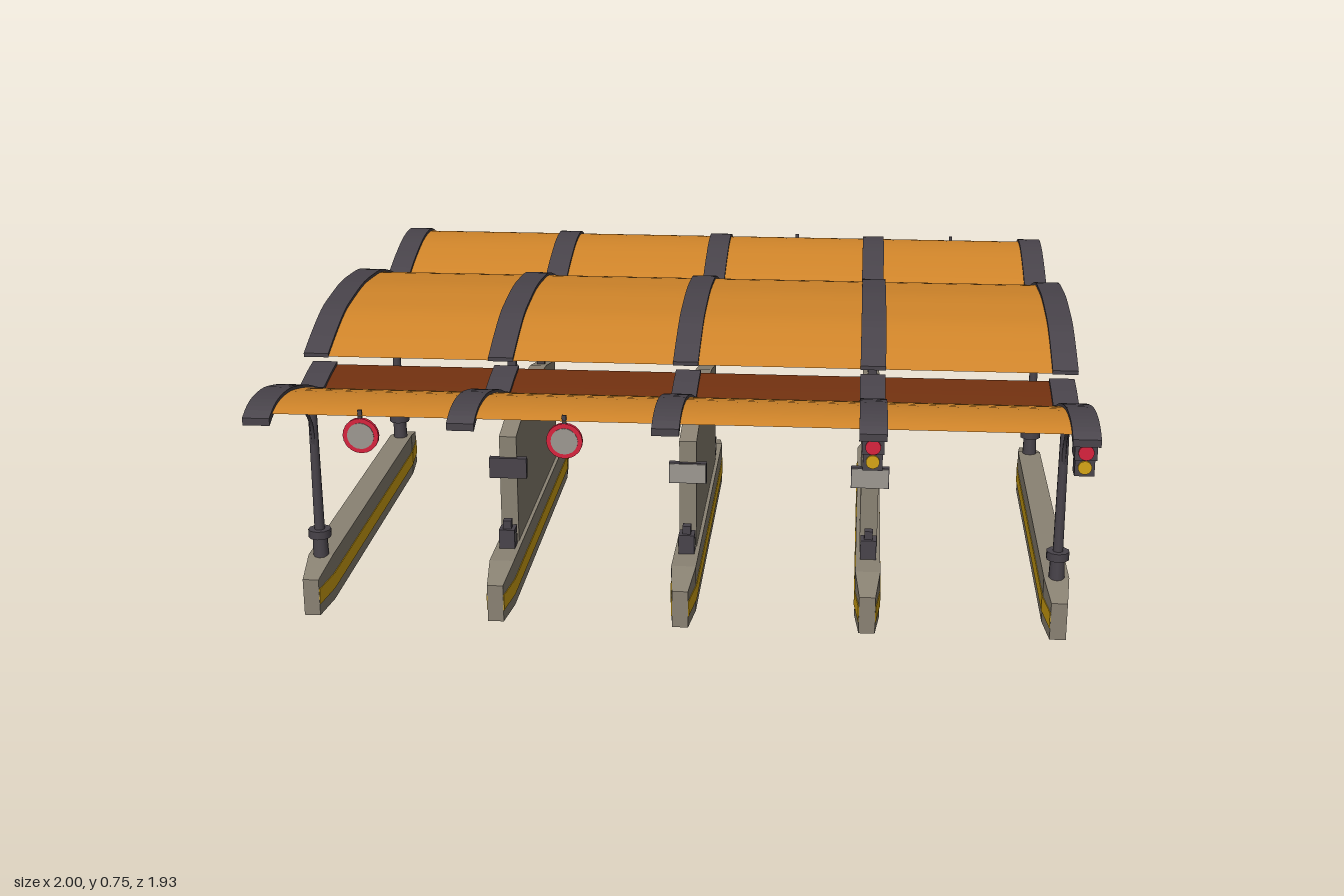
import * as THREE from 'three';

const mat = (name, color, side = THREE.FrontSide) => {
  const m = new THREE.MeshStandardMaterial({ color, side });
  m.name = name;
  return m;
};
const orange = mat('roof orange', 0xcf8429);
const brown = mat('soffit brown', 0x70300f);
const frame = mat('frame charcoal', 0x48434a);
const concrete = mat('concrete', 0x8a8273);
const yellow = mat('stripe yellow', 0xd6a512);
const red = mat('signal red', 0xd8203c);
const grey = mat('panel grey', 0x9d9891);

const BAYS = [-0.967, -0.481, 0, 0.481, 0.967];
const RIB_W = 0.065;

function add(parent, name, geo, material, x = 0, y = 0, z = 0) {
  const m = new THREE.Mesh(geo, material);
  m.name = name;
  m.position.set(x, y, z);
  parent.add(m);
  return m;
}
const box = (w, h, d) => new THREE.BoxGeometry(w, h, d);
const disc = (r, d) => new THREE.CylinderGeometry(r, r, d, 20).rotateX(Math.PI / 2);

// Smooth line through [z, y] points
const smooth = (pts, n) =>
  new THREE.SplineCurve(pts.map(p => new THREE.Vector2(...p))).getPoints(n).map(v => [v.x, v.y]);

// Side profile of [z, y] points extruded along x, centred on x = 0
function slab(profile, width) {
  const shape = new THREE.Shape(profile.map(p => new THREE.Vector2(...p)));
  return new THREE.ExtrudeGeometry(shape, { depth: width, bevelEnabled: false })
    .rotateY(-Math.PI / 2).translate(width / 2, 0, 0);
}

// Rib following a profile, thickness given by a function of z
const rib = (pts, thick) =>
  slab([...pts, ...pts.map(([z, y]) => [z, y - thick(z)]).reverse()], RIB_W);

// Curved sheet across the full width; faces up when points run from back to front
function sheet(pts, drop) {
  const g = new THREE.PlaneGeometry(1.934, 1, 1, pts.length - 1);
  const p = g.attributes.position;
  for (let i = 0; i < p.count; i++) {
    const [z, y] = pts[Math.floor(i / 2)];
    p.setXYZ(i, p.getX(i), y - drop, z);
  }
  g.computeVertexNormals();
  return g;
}
function roofPanel(parent, name, pts, top) {
  add(parent, name, sheet(pts, 0.008), top);
  add(parent, name + 'Underside', sheet([...pts].reverse(), 0.013), brown);
}

// Long bar in z whose end sections are reshaped by a rule
function bar(w, h, rule) {
  const g = new THREE.BoxGeometry(w, h, 1.2, 1, 1, 3);
  const p = g.attributes.position;
  for (let i = 0; i < p.count; i++) {
    const z = p.getZ(i), tip = Math.abs(z) > 0.5;
    const [x, y] = rule(p.getX(i), p.getY(i), tip);
    p.setXYZ(i, x, y, Math.sign(z) * (tip ? 0.6 : 0.49));
  }
  const flat = g.toNonIndexed();
  flat.computeVertexNormals();
  return flat;
}

// Concrete island with tapered ends and stripes on the lane sides
function island(parent, x) {
  add(parent, 'island', bar(RIB_W, 0.125, (px, py, tip) =>
    [tip ? px * 0.64 : px, tip && py > 0 ? 0.1 : py + 0.0625]), concrete, x);
  for (const s of [-1, 1]) {
    if (s * x > 0.9) continue;
    const g = bar(0.004, 0.042, (px, py, tip) => [px + s * (tip ? 0.0208 : 0.0325), py + 0.052]);
    add(parent, 'islandStripe', g.scale(1, 1, 0.998), yellow, x);
  }
}

// Hanging two-lamp signal
function signal(parent, x) {
  const g = new THREE.Group();
  g.name = 'trafficSignal';
  add(g, 'signalBody', box(0.046, 0.1, 0.04), frame, 0, 0.62, 0.925);
  add(g, 'signalHood', box(0.052, 0.05, 0.06), frame, 0, 0.638, 0.927);
  add(g, 'redLamp', disc(0.018, 0.006), red, 0, 0.632, 0.959);
  add(g, 'yellowLamp', disc(0.016, 0.006), yellow, 0, 0.592, 0.947);
  g.position.x = x;
  parent.add(g);
}

// Round hanging sign with a red rim
function roundSign(parent, x) {
  const g = new THREE.Group();
  g.name = 'roundSign';
  add(g, 'signRim', disc(0.043, 0.01), red);
  add(g, 'signFace', disc(0.032, 0.014), grey);
  add(g, 'signHanger', box(0.01, 0.04, 0.006), frame, 0, 0.043, 0);
  g.position.set(x, 0.62, 0.935);
  parent.add(g);
}

// Corner column with footing, collar and curved brace
function column(parent, x) {
  const g = new THREE.Group();
  g.name = 'column';
  const drum = (r0, r1, y0, y1) => new THREE.CylinderGeometry(r1, r0, y1 - y0, 10).translate(0, (y0 + y1) / 2, 0.483);
  add(g, 'columnShaft', drum(0.014, 0.011, 0.12, 0.575), frame);
  add(g, 'columnFooting', drum(0.021, 0.019, 0.12, 0.18), frame);
  add(g, 'columnCollar', drum(0.03, 0.03, 0.176, 0.198), frame);
  const path = [[0.487, 0.42], [0.505, 0.5], [0.545, 0.543], [0.59, 0.572], [0.66, 0.632]];
  const curve = new THREE.CatmullRomCurve3(path.map(([z, y]) => new THREE.Vector3(0, y, z)));
  add(g, 'columnBrace', new THREE.TubeGeometry(curve, 16, 0.005, 6), frame);
  g.position.x = x;
  parent.add(g);
}

// Front half; the back half is the same turned half round
function buildHalf() {
  const half = new THREE.Group();
  const inner = [[0.33, 0.614], [0.4, 0.604], [0.475, 0.588]];
  const outer = smooth([[0.475, 0.588], [0.54, 0.61], [0.62, 0.641], [0.71, 0.667],
    [0.79, 0.684], [0.87, 0.689], [0.925, 0.682], [0.966, 0.666]], 20);
  const wing = [...inner, ...outer.slice(1)];
  const thick = z => 0.012 + 0.017 * Math.max(0, 1 - Math.abs(z - 0.48) / 0.2);
  roofPanel(half, 'wingInnerPanel', inner, brown);
  roofPanel(half, 'wingPanel', outer.filter(p => p[0] < 0.955), orange);
  for (const x of BAYS) add(half, 'wingRib', rib(wing, z => thick(z) + 0.006), frame, x);

  for (const x of [-0.967, 0.967]) column(half, x);
  for (const x of [-0.481, 0.481]) add(half, 'roofPost', box(0.022, 0.29, 0.022), frame, x, 0.57, 0.24);
  for (const x of BAYS.slice(1, 4)) {
    // Display box on the wall end
    add(half, 'displayBox', box(0.1, 0.056, 0.018), frame, x, 0.336, 0.35);
    if (x >= 0) add(half, 'displayFace', box(0.096, 0.052, 0.004), grey, x, 0.336, 0.36);
    // Barrier machine
    add(half, 'barrierMachine', box(0.042, 0.055, 0.042), frame, x, 0.15, 0.385);
    add(half, 'barrierPanel', box(0.046, 0.022, 0.014), grey, x, 0.152, 0.386);
    add(half, 'barrierCap', box(0.022, 0.024, 0.022), frame, x, 0.188, 0.385);
  }
  for (const x of [0.481, 0.967]) signal(half, x);
  for (const x of [-0.725, -0.24]) roundSign(half, x);
  return half;
}

export function createModel() {
  const model = new THREE.Group();
  model.name = 'checkpointCanopy';

  // Islands and dividing walls
  for (const x of BAYS) island(model, x);
  const wallTop = [[0.35, 0.422], [0.19, 0.456], [0, 0.47], [-0.19, 0.456], [-0.35, 0.422]];
  const wall = slab([[-0.35, 0.1], [0.35, 0.1], ...wallTop], 0.046);
  for (const x of BAYS.slice(1, 4)) add(model, 'dividingWall', wall, concrete, x);

  // Central arched roof
  const side = [[0.415, 0.661], [0.33, 0.693], [0.22, 0.726], [0.12, 0.738]];
  const arch = smooth([...side.map(([z, y]) => [-z, y]), [0, 0.745], ...side.reverse()], 28);
  roofPanel(model, 'centralPanel', arch, orange);
  for (const x of BAYS) {
    add(model, 'centralRib', rib(arch, z => 0.022 - 0.012 * Math.max(0, (Math.abs(z) - 0.22) / 0.2)), frame, x);
  }

  // Two wings
  const front = buildHalf();
  front.name = 'frontWing';
  const back = buildHalf();
  back.name = 'backWing';
  back.rotation.y = Math.PI;
  model.add(front, back);
  return model;
}
